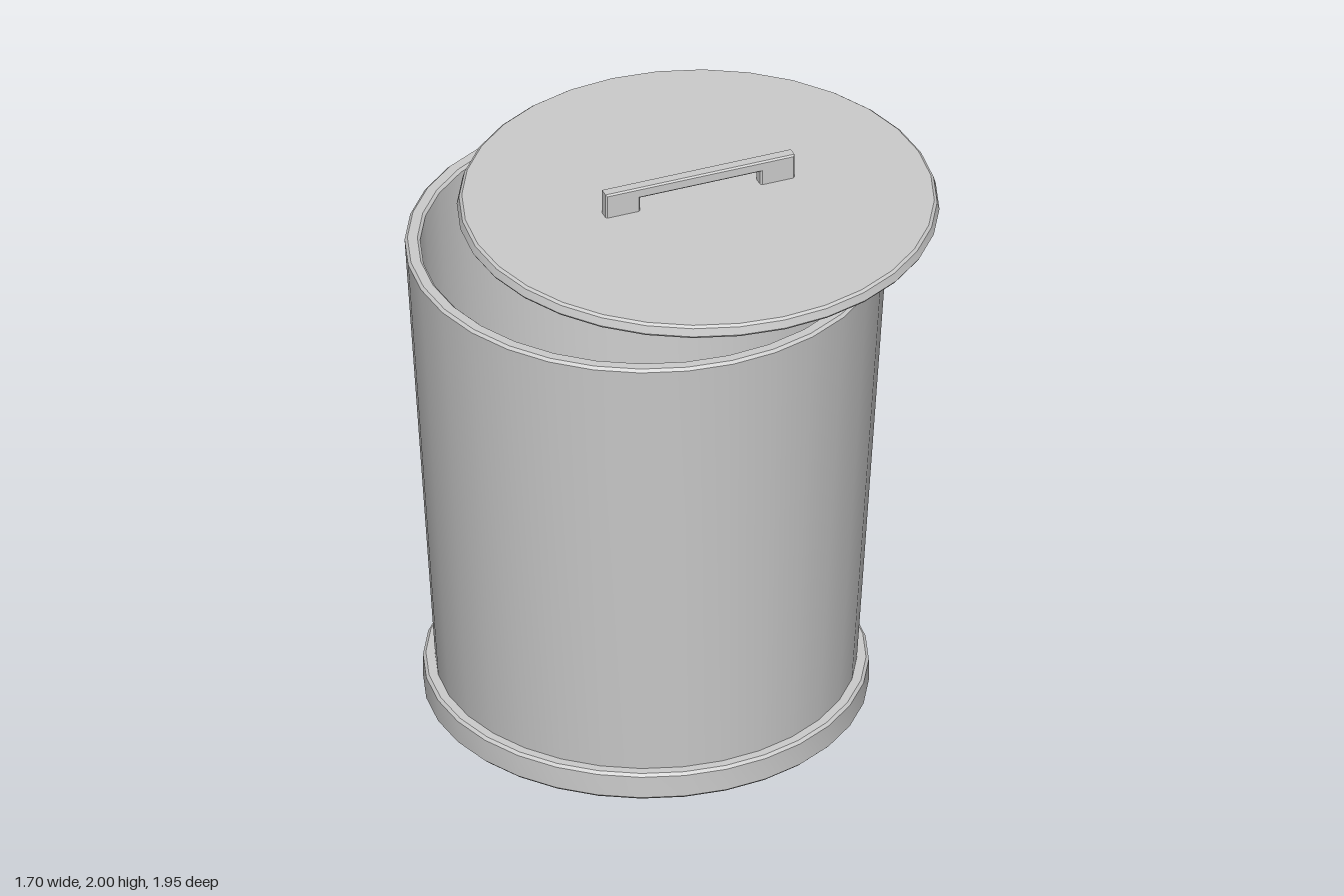
import * as THREE from 'three';
import { toCreasedNormals } from 'three/addons/utils/BufferGeometryUtils.js';

const SIDES = 32;
const material = new THREE.MeshStandardMaterial({ color: 0xcccccc });

function part(name, geometry) {
  const mesh = new THREE.Mesh(toCreasedNormals(geometry, 0.5), material);
  mesh.name = name;
  return mesh;
}

// Revolved profile of [radius, height] pairs
function turned(name, profile) {
  return part(name, new THREE.LatheGeometry(profile.map(([r, y]) => new THREE.Vector2(r, y)), SIDES));
}

export function createModel() {
  const model = new THREE.Group();
  model.name = 'binWithLid';

  // Tapered, open container standing on a wider foot ring
  const bin = new THREE.Group();
  bin.name = 'bin';
  bin.position.z = 0.127;
  bin.add(
    turned('footRing', [[0, 0], [0.775, 0], [0.785, 0.01], [0.785, 0.095], [0.775, 0.105], [0.73, 0.105]]),
    turned('body', [
      [0.742, 0.09], [0.85, 1.83], [0.84, 1.84], [0.805, 1.84], [0.795, 1.83],
      [0.708, 0.11], [0, 0.11],
    ]),
  );
  model.add(bin);

  // Lid, slid towards the back
  const lid = new THREE.Group();
  lid.name = 'lid';
  lid.position.set(0, 1.86, -0.127);
  lid.add(turned('lidDisc', [[0, 0], [0.845, 0], [0.85, 0.008], [0.842, 0.037], [0.832, 0.045], [0, 0.045]]));

  // Bracket-shaped handle: a bar on two feet
  const bevel = 0.006, half = 0.358 - bevel, hole = 0.228 + bevel;
  const low = 0.04, under = 0.098 + bevel, top = 0.14 - bevel;
  const outline = new THREE.Shape([
    [-half, low], [-hole, low], [-hole, under], [hole, under],
    [hole, low], [half, low], [half, top], [-half, top],
  ].map(([x, y]) => new THREE.Vector2(x, y)));
  const depth = 0.046 - 2 * bevel;
  const bar = new THREE.ExtrudeGeometry(outline, {
    depth, bevelEnabled: true, bevelSize: bevel, bevelThickness: bevel, bevelSegments: 1,
  });
  bar.translate(0, 0, -depth / 2);
  const handle = part('handle', bar);
  handle.position.set(-0.012, 0, -0.012);
  handle.rotation.y = THREE.MathUtils.degToRad(68);
  lid.add(handle);
  model.add(lid);

  return model;
}
